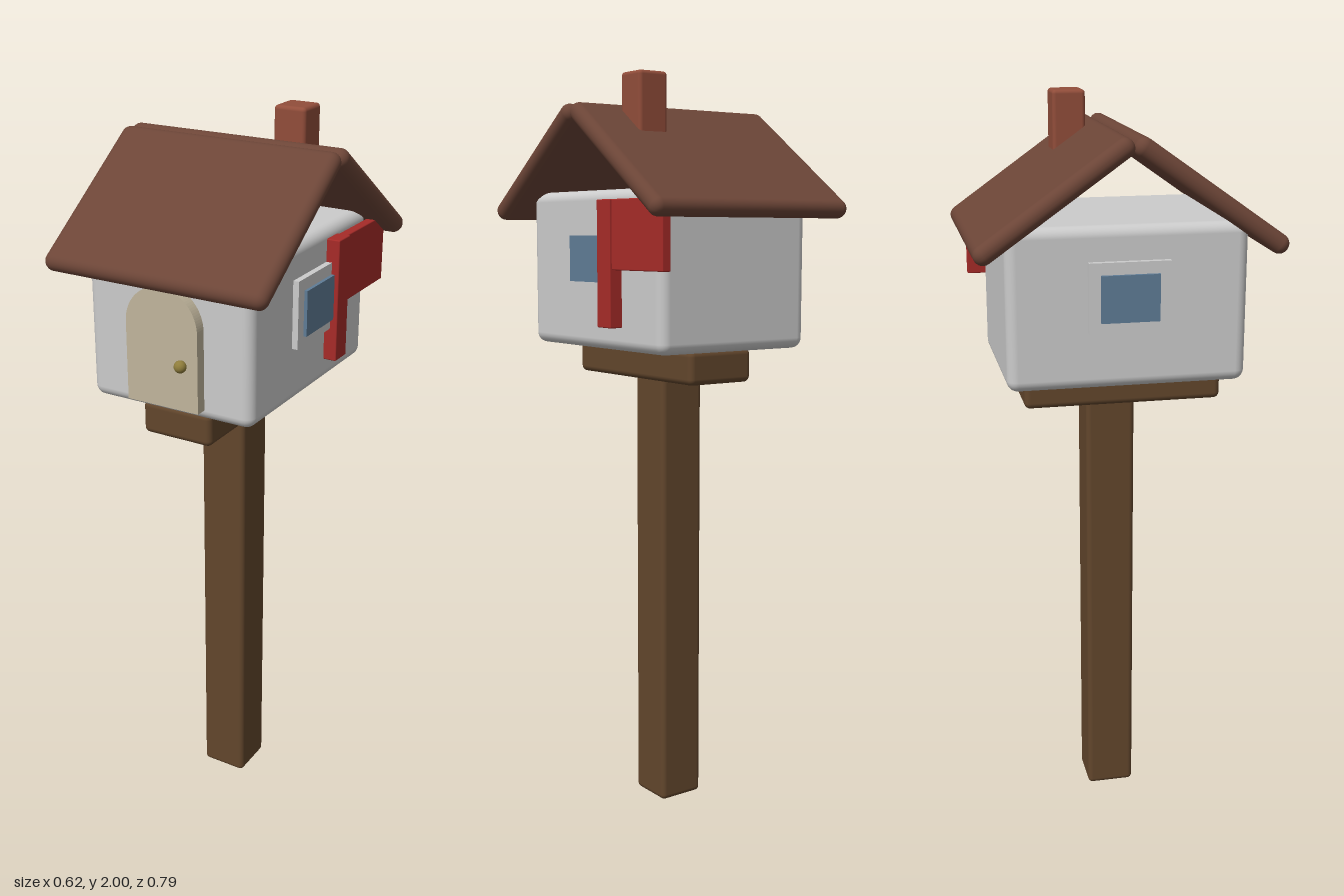
import * as THREE from 'three';
import { RoundedBoxGeometry } from 'three/addons/geometries/RoundedBoxGeometry.js';

const mat = (color) => new THREE.MeshStandardMaterial({ color });
const WOOD = mat(0x62462c), ROOF = mat(0x6c4537), BRICK = mat(0x914d3a), WALL = mat(0xcccccc);
const DOOR = mat(0xc0b59c), BRASS = mat(0x8f7d3c), GLASS = mat(0x5f7c96), RED = mat(0xa62b28);

export function createModel() {
  const group = new THREE.Group();

  const add = (name, geometry, material, x, y, z) => {
    const mesh = new THREE.Mesh(geometry, material);
    mesh.name = name;
    mesh.position.set(x, y, z);
    group.add(mesh);
    return mesh;
  };
  // Rounded block given by its [min, max] range on each axis
  const block = (name, material, [x0, x1], [y0, y1], [z0, z1], radius) =>
    add(name, new RoundedBoxGeometry(x1 - x0, y1 - y0, z1 - z0, 3, radius), material,
      (x0 + x1) / 2, (y0 + y1) / 2, (z0 + z1) / 2);

  // Post, support and house body
  block('post', WOOD, [-0.066, 0.066], [0, 1.22], [-0.079, 0.053], 0.014);
  block('support', WOOD, [-0.101, 0.101], [1.2, 1.29], [-0.25, 0.282], 0.016);
  block('house', WALL, [-0.236, 0.236], [1.288, 1.703], [-0.31, 0.31], 0.028);

  // Two sloping roof slabs with fully rounded edges
  for (const s of [1, -1]) {
    const slab = add(s > 0 ? 'frontRoof' : 'backRoof',
      new RoundedBoxGeometry(0.625, 0.05, 0.47, 4, 0.0245), ROOF, 0, 1.775, s * 0.196);
    slab.rotation.x = s * 0.611;
  }
  block('chimney', BRICK, [0.09, 0.178], [1.768, 2], [-0.135, -0.048], 0.01);

  // Arched door with a round knob
  const arch = new THREE.Shape();
  arch.moveTo(-0.103, 0);
  arch.lineTo(0.103, 0);
  arch.lineTo(0.103, 0.207);
  arch.absarc(0, 0.207, 0.103, 0, Math.PI, false);
  arch.closePath();
  const doorGeometry = new THREE.ExtrudeGeometry(arch, { depth: 0.04, bevelEnabled: false, curveSegments: 24 });
  add('door', doorGeometry, DOOR, 0, 1.317, 0.3);
  add('doorKnob', new THREE.SphereGeometry(0.016, 20, 14), BRASS, 0.058, 1.437, 0.347);

  // Side windows
  for (const s of [1, -1]) {
    const side = s > 0 ? 'left' : 'right';
    add(side + 'WindowFrame', new THREE.BoxGeometry(0.03, 0.178, 0.21), WALL, s * 0.237, 1.527, 0);
    add(side + 'WindowPane', new THREE.BoxGeometry(0.03, 0.12, 0.15), GLASS, s * 0.246, 1.525, 0);
  }

  // Signal flag on the left wall
  block('flagArm', RED, [0.232, 0.272], [1.35, 1.676], [-0.135, -0.074], 0.003);
  block('flag', RED, [0.24, 0.266], [1.498, 1.676], [-0.356, -0.13], 0.003);

  return group;
}
